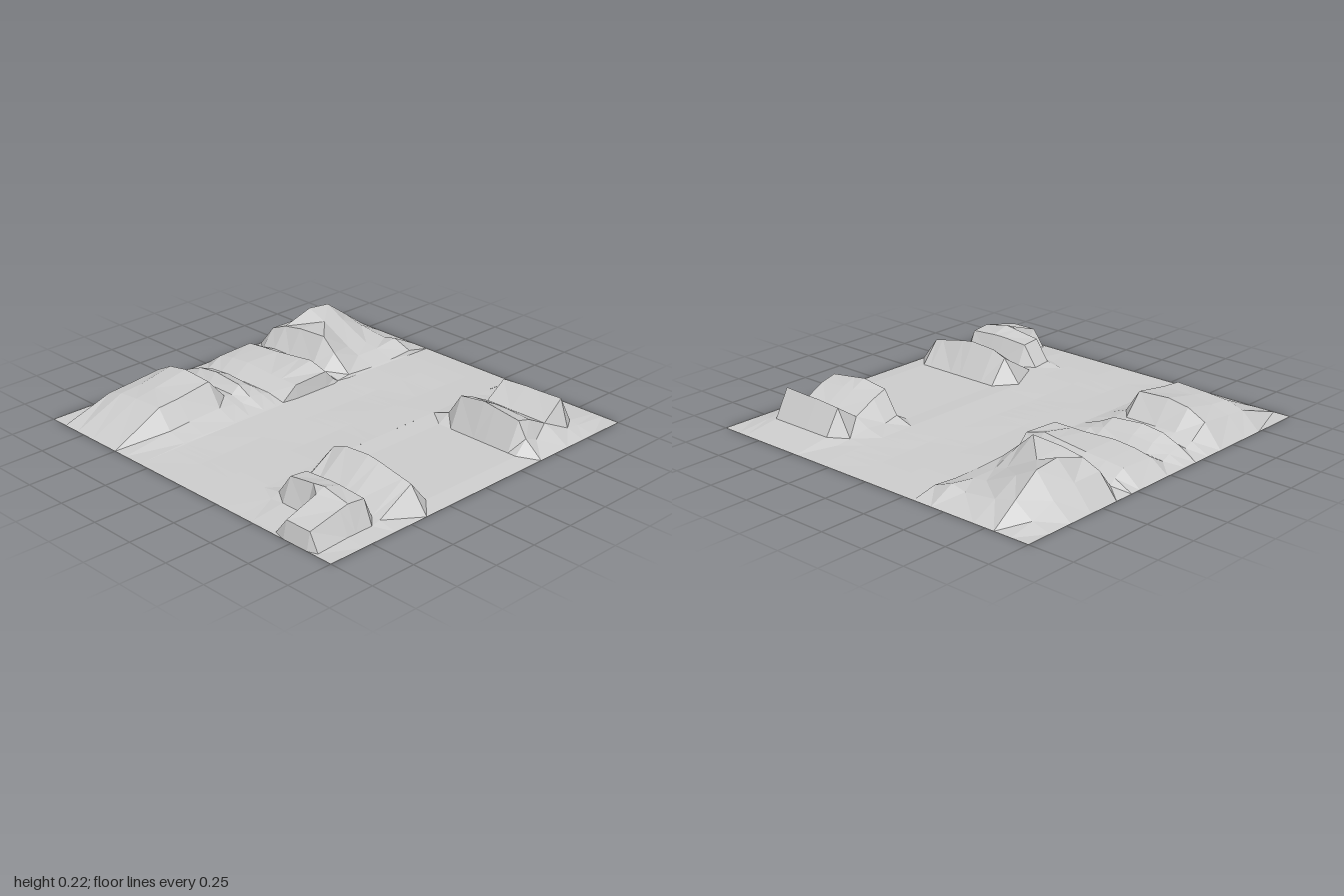
import * as THREE from 'three';

const material = new THREE.MeshStandardMaterial({ color: 0xcccccc, flatShading: true, side: THREE.DoubleSide });

// Gentle crown of the valley floor, falling to zero at the front and back
const floor = z => 0.018 * (1 - z ** 4);

// Faceted ground patch: one row of heights per z, one height per x
function patch(name, xs, rows) {
  const pos = [], index = [], n = xs.length;
  for (const [z, ...h] of rows) xs.forEach((x, i) => pos.push(x, h[i], z));
  for (let r = 0; r < rows.length - 1; r++) {
    for (let i = 0; i < n - 1; i++) {
      const a = r * n + i, b = a + n, c = a + 1, d = b + 1;
      // Split each cell along the flatter diagonal
      const y = k => pos[k * 3 + 1];
      if (Math.abs(y(a) - y(d)) < Math.abs(y(b) - y(c))) index.push(a, b, d, a, d, c);
      else index.push(a, b, c, b, d, c);
    }
  }
  const g = new THREE.BufferGeometry();
  g.setAttribute('position', new THREE.Float32BufferAttribute(pos, 3));
  g.setIndex(index);
  g.computeVertexNormals();
  const mesh = new THREE.Mesh(g, material);
  mesh.name = name;
  return mesh;
}

export function createModel() {
  const group = new THREE.Group();
  group.name = 'terrain';

  // Long folded ridge: z, then heights from the outer slope to the valley wall
  const ridge = [
    [-1, 0, 0, 0, 0, 0, 0],
    [-0.86, 0.03, 0.1, 0.07, 0.05, 0.07, 0.03],
    [-0.72, 0.08, 0.2, 0.14, 0.06, 0.05, 0.02],
    [-0.58, 0.12, 0.215, 0.17, 0.08, 0.05, 0.02],
    [-0.4, 0.12, 0.16, 0.18, 0.19, 0.12, 0.03],
    [-0.32, 0.02, 0.05, 0.05, 0.05, 0.04, 0.02],
    [-0.29, 0.05, 0.06, 0.06, 0.06, 0.05, 0.04],
    [-0.23, 0.08, 0.09, 0.1, 0.12, 0.13, 0.1],
    [-0.02, 0.07, 0.09, 0.1, 0.09, 0.09, 0.09],
    [0.07, 0.02, 0.03, 0.04, 0.04, 0.04, 0.02],
    [0.12, 0.04, 0.07, 0.08, 0.07, 0.05, 0.02],
    [0.2, 0.06, 0.1, 0.115, 0.1, 0.06, 0.02],
    [0.25, 0.03, 0.05, 0.06, 0.06, 0.04, 0.02],
    [0.3, 0.05, 0.07, 0.07, 0.07, 0.05, 0.02],
    [0.4, 0.12, 0.17, 0.19, 0.18, 0.06, 0.02],
    [0.6, 0.1, 0.13, 0.15, 0.15, 0.05, 0.02],
    [0.72, 0.09, 0.12, 0.13, 0.14, 0.04, 0.015],
    [1, 0, 0, 0, 0, 0, 0],
  ].map(([z, ...h]) => [z, 0, ...h, floor(z)]);
  group.add(patch('longRidge', [-1, -0.9, -0.8, -0.68, -0.5, -0.42, -0.31, -0.3], ridge));

  // Twin-crested hill at the back
  const sideXs = [0.3, 0.4, 0.48, 0.63, 0.7, 0.85, 0.9, 1];
  const edge = ([z, ...h]) => [z, floor(z), ...h, 0];
  const foot = z => [z, ...Array(6).fill(floor(z) * 0.6)];
  group.add(patch('backHill', sideXs, [
    foot(-1),
    [-0.8, 0.01, 0.03, 0.03, 0.03, 0.03, 0.02],
    [-0.72, 0.02, 0.16, 0.17, 0.17, 0.175, 0.03],
    [-0.6, 0.04, 0.08, 0.08, 0.08, 0.08, 0.06],
    [-0.48, 0.03, 0.14, 0.15, 0.15, 0.14, 0.05],
    [-0.4, 0.05, 0.17, 0.19, 0.18, 0.16, 0.08],
    foot(-0.33),
  ].map(edge)));

  // Level ground between the two hills
  group.add(patch('sideGround', sideXs, [foot(-0.33), foot(0), foot(0.3)].map(edge)));

  // Front hill: a straight ridge, a trough and an L-shaped mound
  group.add(patch('frontHill', sideXs, [
    foot(0.3),
    [0.4, 0.14, 0.17, 0.18, 0.17, 0.14, 0.13],
    [0.6, 0.02, 0.02, 0.02, 0.02, 0.02, 0.02],
    [0.65, 0.02, 0.13, 0.14, 0.14, 0.13, 0.01],
    [0.75, 0.03, 0.14, 0.16, 0.17, 0.14, 0.01],
    [0.8, 0.01, 0.02, 0.02, 0.15, 0.13, 0.01],
    [0.98, 0, 0, 0, 0.09, 0.09, 0],
    foot(1),
  ].map(edge)));

  // Valley floor, with edge rows matching its neighbours
  const zs = [...new Set([...ridge.map(r => r[0]), -0.8, -0.6, -0.48, -0.33, 0, 0.65, 0.75, 0.8, 0.98])].sort((a, b) => a - b);
  group.add(patch('valleyFloor', [-0.3, -0.1, 0.1, 0.3], zs.map(z => {
    const f = floor(z), wave = 0.15 * Math.sin(z * 7);
    return [z, f, f * (0.7 + wave), f * (0.7 - wave), f];
  })));
  return group;
}
